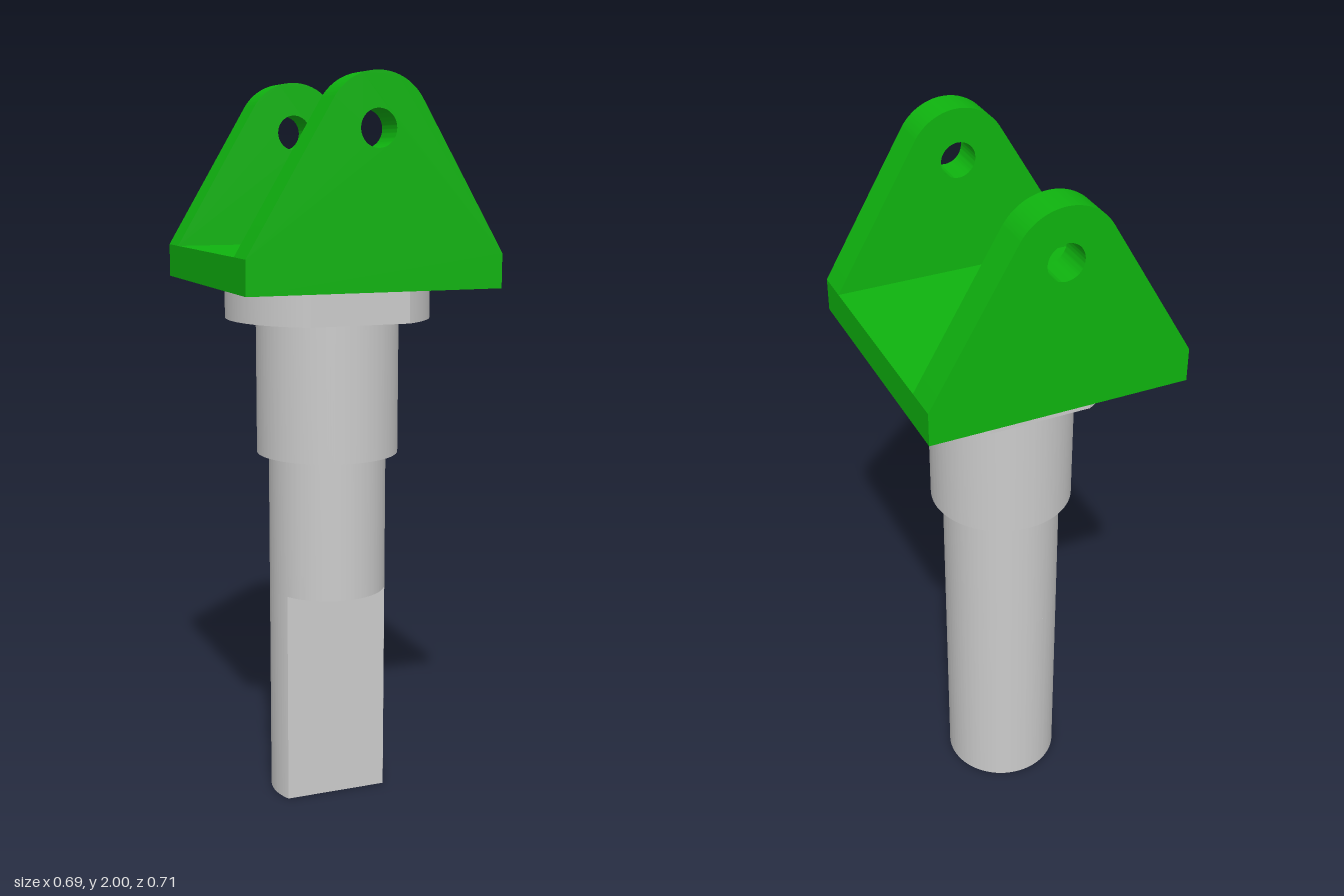
import * as THREE from 'three';
import { toCreasedNormals } from 'three/addons/utils/BufferGeometryUtils.js';

const grey = new THREE.MeshStandardMaterial({ color: 0xcccccc });
const green = new THREE.MeshStandardMaterial({ color: 0x0fb40f });

function extrude(shape, depth) {
  const geometry = new THREE.ExtrudeGeometry(shape, { depth, bevelEnabled: false, curveSegments: 48 });
  return toCreasedNormals(geometry, 0.4);
}

// Round bar standing from y0 to y1, with optional flats cut at z = front and z = back
function bar(name, radius, y0, y1, front = radius, back = radius) {
  const f = Math.acos(front / radius);
  const b = Math.acos(back / radius);
  const shape = new THREE.Shape();
  shape.absarc(0, 0, radius, -Math.PI / 2 + f, Math.PI / 2 - b, false);
  shape.absarc(0, 0, radius, Math.PI / 2 + b, Math.PI * 1.5 - f, false);
  shape.closePath();
  const mesh = new THREE.Mesh(extrude(shape, y1 - y0).rotateX(-Math.PI / 2).translate(0, y0, 0), grey);
  mesh.name = name;
  return mesh;
}

export function createModel() {
  const model = new THREE.Group();
  model.name = 'clevisPin';

  // Stepped pin: D-cut end, round shank, shoulder, flange with two flats
  model.add(
    bar('flattedShank', 0.163, 0, 0.6, 0.073),
    bar('roundShank', 0.163, 0.6, 0.99),
    bar('shoulder', 0.196, 0.99, 1.365),
    bar('flange', 0.28, 1.365, 1.46, 0.243, 0.243)
  );

  // Clevis: base plate with two upright ears
  const halfX = 0.347, halfZ = 0.356, baseY = 1.46, earY = 1.55, earDepth = 0.094;
  const clevis = new THREE.Group();
  clevis.name = 'clevis';
  const base = new THREE.Mesh(new THREE.BoxGeometry(halfX * 2, earY - baseY, halfZ * 2), green);
  base.name = 'basePlate';
  base.position.y = (baseY + earY) / 2;
  clevis.add(base);

  // Ear outline: straight sides tangent to a rounded top around the pin hole
  const holeY = 1.862, topR = 0.138;
  const drop = holeY - earY;
  const tangent = Math.acos(topR / Math.hypot(halfX, drop)) - Math.atan2(drop, halfX);
  const ear = new THREE.Shape();
  ear.moveTo(-halfX, earY);
  ear.lineTo(halfX, earY);
  ear.absarc(0, holeY, topR, tangent, Math.PI - tangent, false);
  ear.closePath();
  ear.holes.push(new THREE.Path().absarc(0, holeY, 0.048, 0, Math.PI * 2, true));
  const earGeometry = extrude(ear, earDepth);
  for (const [name, z] of [['frontEar', halfZ - earDepth], ['backEar', -halfZ]]) {
    const mesh = new THREE.Mesh(earGeometry, green);
    mesh.name = name;
    mesh.position.z = z;
    clevis.add(mesh);
  }
  model.add(clevis);
  return model;
}
